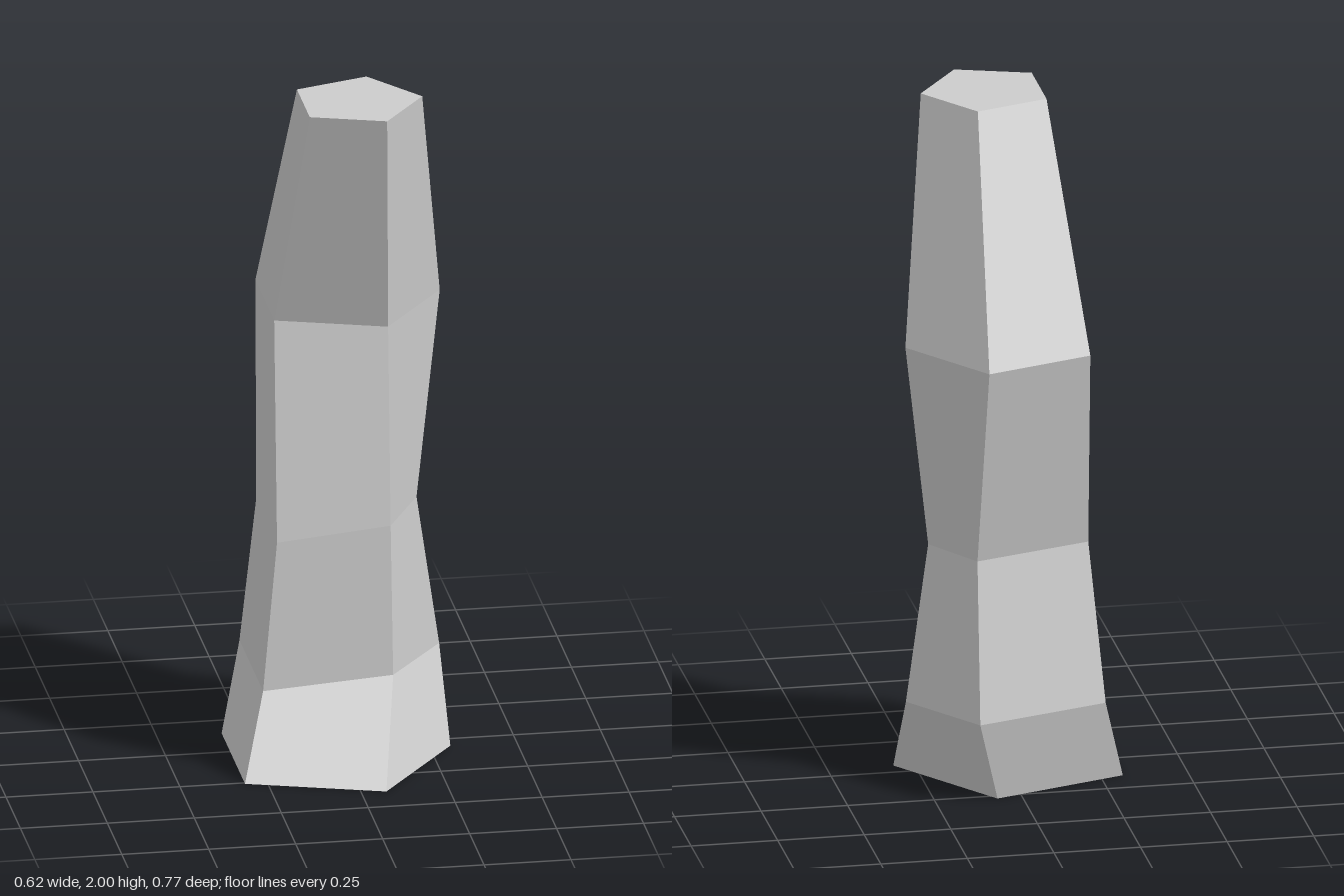
import * as THREE from 'three';

// A regular five-sided ring, one corner pointing to +x, ordered
// right, back, left-back, left-front, front (anticlockwise from above)
function pentagon(y, radius, cx, cz) {
  return Array.from({ length: 5 }, (_, i) => {
    const a = (i * Math.PI * 2) / 5;
    return new THREE.Vector3(cx + radius * Math.cos(a), y, cz - radius * Math.sin(a));
  });
}

// An irregular ring from [x, z] corners in the same order
const ring = (y, corners) => corners.map(([x, z]) => new THREE.Vector3(x, y, z));

// Joins the rings with flat faces and closes both ends
function loftGeometry(rings) {
  const positions = [];
  const normals = [];

  // One face as a triangle fan, with a single normal for the whole face
  function addFace(corners) {
    const normal = new THREE.Vector3();
    const ab = new THREE.Vector3();
    const ac = new THREE.Vector3();
    for (let i = 1; i < corners.length - 1; i++) {
      ab.subVectors(corners[i], corners[0]);
      ac.subVectors(corners[i + 1], corners[0]);
      normal.add(ab.cross(ac));
    }
    normal.normalize();
    for (let i = 1; i < corners.length - 1; i++) {
      for (const p of [corners[0], corners[i], corners[i + 1]]) {
        positions.push(p.x, p.y, p.z);
        normals.push(normal.x, normal.y, normal.z);
      }
    }
  }

  for (let r = 0; r < rings.length - 1; r++) {
    const low = rings[r];
    const high = rings[r + 1];
    low.forEach((corner, i) => {
      const j = (i + 1) % low.length;
      addFace([corner, low[j], high[j], high[i]]);
    });
  }
  addFace([...rings[0]].reverse());
  addFace(rings[rings.length - 1]);

  const geometry = new THREE.BufferGeometry();
  geometry.setAttribute('position', new THREE.Float32BufferAttribute(positions, 3));
  geometry.setAttribute('normal', new THREE.Float32BufferAttribute(normals, 3));
  return geometry;
}

export function createModel() {
  const group = new THREE.Group();
  group.name = 'crookedTrunk';

  const rings = [
    pentagon(0, 0.345, -0.035, 0.055), // flared foot
    ring(0.25, [[0.305, -0.11], [0.135, -0.345], [-0.25, -0.225], [-0.25, 0.185], [0.135, 0.118]]),
    ring(0.71, [[0.235, -0.08], [0.125, -0.25], [-0.215, -0.145], [-0.215, 0.215], [0.125, 0.135]]),
    pentagon(1.32, 0.278, 0.03, -0.118), // bulge leaning back
    pentagon(2, 0.189, 0.031, 0.11), // narrow top leaning forward
  ];

  const trunk = new THREE.Mesh(
    loftGeometry(rings),
    new THREE.MeshStandardMaterial({ color: 0xcccccc })
  );
  trunk.name = 'trunk';
  group.add(trunk);
  return group;
}
